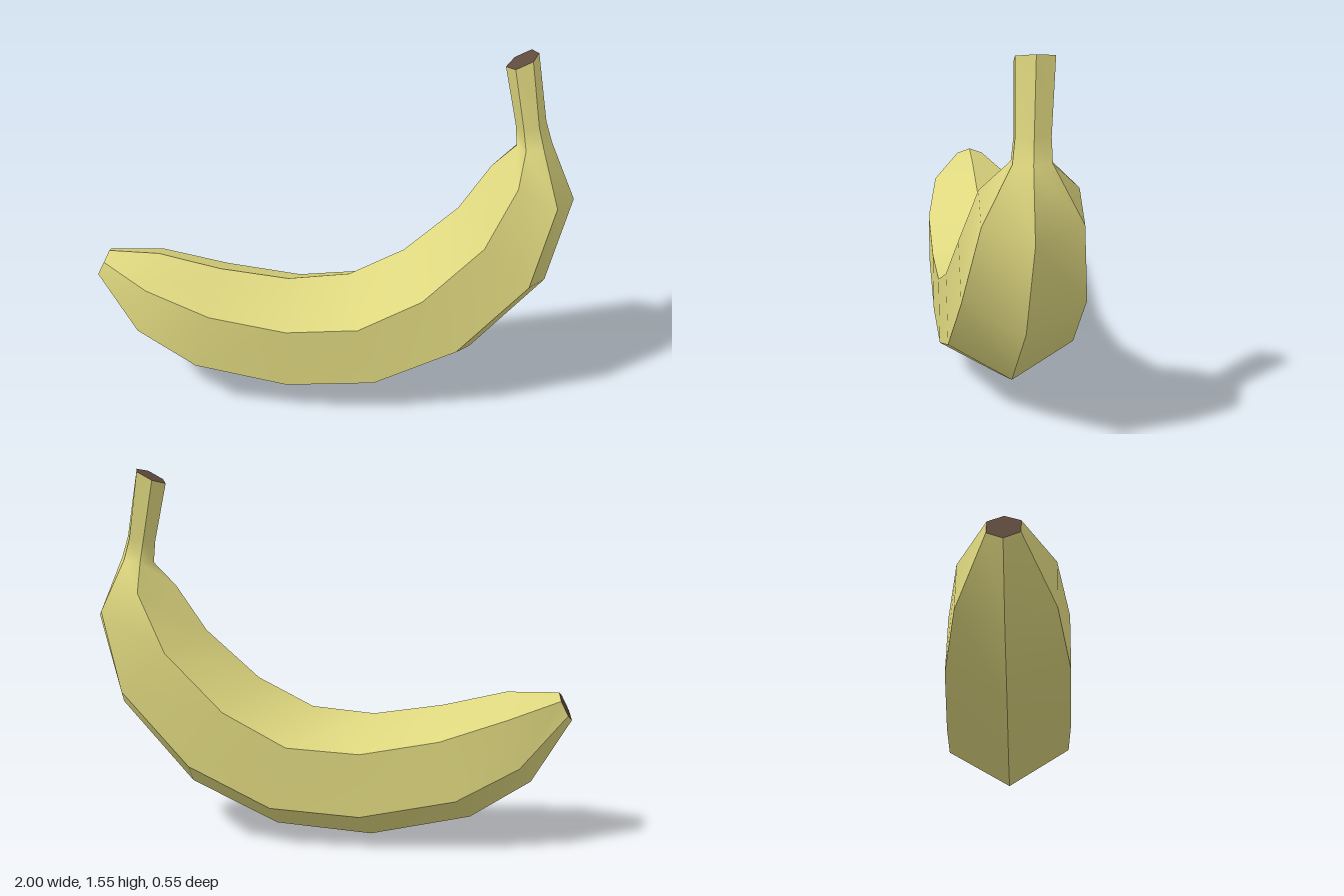
import * as THREE from 'three';

// Cross-sections from blossom tip to stem end.
// Each: centre z, half width, then x,y of outer ridge, lower side, upper side, inner ridge
const SECTIONS = [
  [0.06, 0.06, -1.0, 0.53, -0.985, 0.56, -0.955, 0.62, -0.945, 0.645],
  [0.055, 0.18, -0.84, 0.26, -0.80, 0.36, -0.75, 0.56, -0.73, 0.64],
  [0.045, 0.228, -0.59, 0.095, -0.55, 0.225, -0.48, 0.47, -0.47, 0.575],
  [0.022, 0.24, -0.17, 0.0, -0.16, 0.145, -0.16, 0.41, -0.18, 0.53],
  [-0.002, 0.247, 0.24, 0.03, 0.21, 0.17, 0.14, 0.43, 0.08, 0.555],
  [-0.025, 0.245, 0.61, 0.205, 0.55, 0.335, 0.40, 0.57, 0.31, 0.675],
  [-0.05, 0.228, 0.91, 0.55, 0.83, 0.64, 0.64, 0.81, 0.53, 0.875],
  [-0.07, 0.18, 1.0, 0.93, 0.92, 0.97, 0.76, 1.05, 0.655, 1.065],
  [-0.072, 0.07, 0.89, 1.18, 0.855, 1.175, 0.785, 1.165, 0.75, 1.16],
  [-0.076, 0.063, 0.86, 1.27, 0.83, 1.265, 0.77, 1.255, 0.74, 1.25],
  [-0.085, 0.07, 0.81, 1.55, 0.785, 1.54, 0.72, 1.505, 0.685, 1.49],
];

// Six corners: outer, lower front, upper front, inner, upper back, lower back
function ring([z, h, ox, oy, lx, ly, ux, uy, ix, iy]) {
  return [
    [ox, oy, z], [lx, ly, z + h], [ux, uy, z + h],
    [ix, iy, z], [ux, uy, z - h], [lx, ly, z - h],
  ];
}

function geometry(points, index) {
  const g = new THREE.BufferGeometry();
  g.setAttribute('position', new THREE.Float32BufferAttribute(points.flat(), 3));
  g.setIndex(index);
  g.computeVertexNormals();
  return g;
}

// One face of the peel: smooth along its length, sharp at both ridges
function peelStrip(rings, k) {
  const points = [], index = [];
  rings.forEach((r, i) => {
    points.push(r[k], r[(k + 1) % 6]);
    if (i === 0) return;
    const a = 2 * (i - 1);
    index.push(a, a + 2, a + 3, a, a + 3, a + 1);
  });
  return geometry(points, index);
}

// Flat six-sided end
function endCap(corners) {
  const index = [];
  for (let i = 1; i < 5; i++) index.push(0, i, i + 1);
  return geometry(corners, index);
}

export function createModel() {
  const yellow = new THREE.MeshStandardMaterial({ color: 0xded77f });
  yellow.name = 'peelYellow';
  const brown = new THREE.MeshStandardMaterial({ color: 0x604a3e });
  brown.name = 'endBrown';

  const model = new THREE.Group();
  model.name = 'banana';
  const add = (parent, name, geo, mat) => {
    const mesh = new THREE.Mesh(geo, mat);
    mesh.name = name;
    parent.add(mesh);
  };

  const rings = SECTIONS.map(ring);

  // Peel with stem
  const peel = new THREE.Group();
  peel.name = 'peel';
  model.add(peel);
  ['outerFront', 'sideFront', 'innerFront', 'innerBack', 'sideBack', 'outerBack']
    .forEach((name, k) => add(peel, name + 'Peel', peelStrip(rings, k), yellow));

  // Cut ends
  add(model, 'blossomTip', endCap(rings[0]), brown);
  add(model, 'stemEnd', endCap([...rings[rings.length - 1]].reverse()), brown);

  return model;
}
